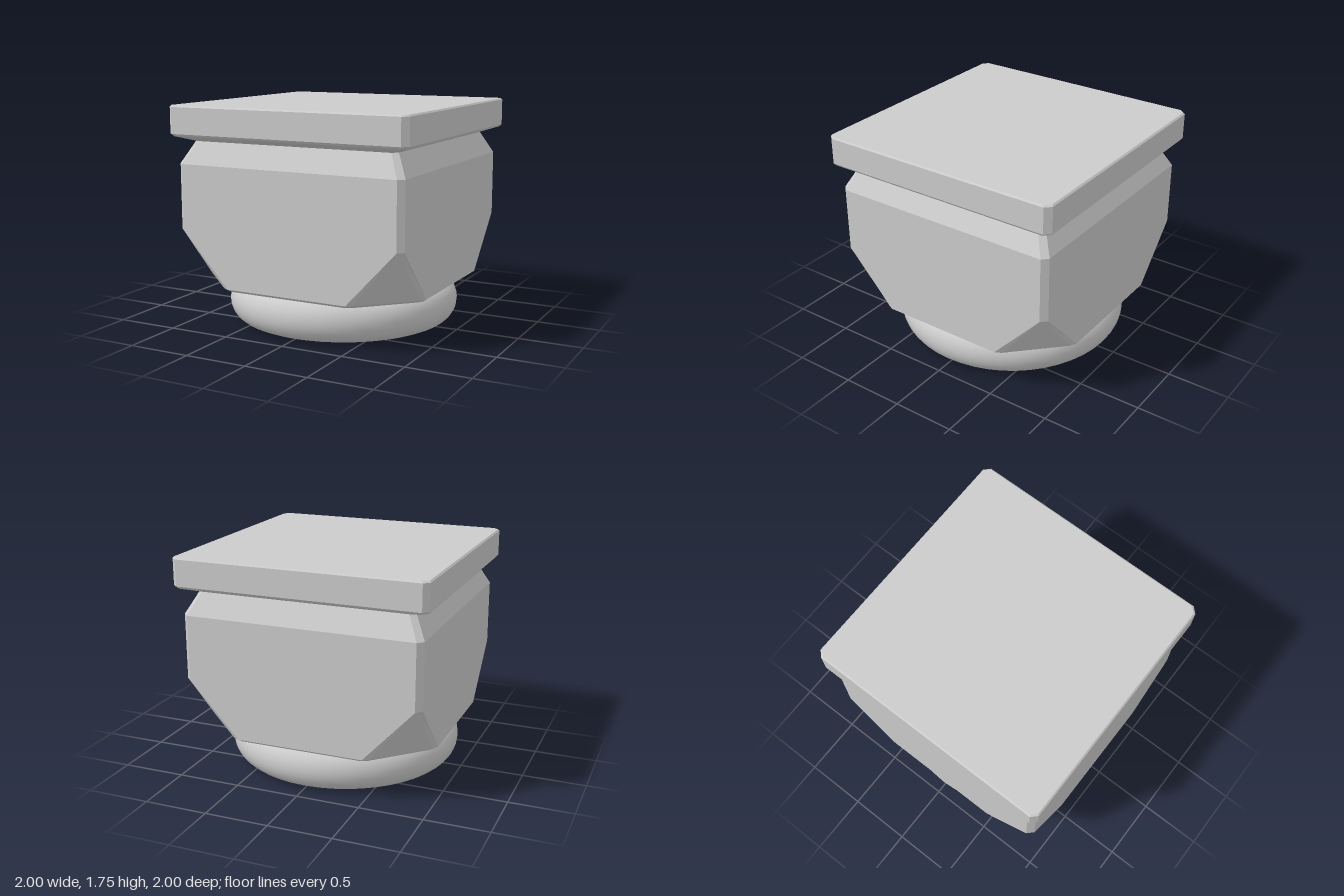
import * as THREE from 'three';

const material = new THREE.MeshStandardMaterial({ color: 0xcccccc });

// Square ring with cut corners: half-width w, cut c, softened edge point (p, q) in from the sides
function ring([y, w, c, p = c / 2, q = c / 2]) {
  const corner = [[w, w - c], [w - p, w - q], [w - q, w - p], [w - c, w]];
  const points = [];
  for (let k = 0; k < 4; k++) {
    for (const [x, z] of corner) {
      let a = x, b = z;
      for (let r = 0; r < k; r++) [a, b] = [-b, a];
      points.push(new THREE.Vector3(a, y, b));
    }
  }
  return points;
}

// Flat-faced solid through a stack of rings, closed at both ends
function loft(name, levels) {
  const rings = levels.map(ring);
  const positions = [];
  const tri = (a, b, c) => {
    if (new THREE.Triangle(a, b, c).getArea() < 1e-7) return;
    for (const v of [a, b, c]) positions.push(v.x, v.y, v.z);
  };
  const n = rings[0].length;
  const last = rings.length - 1;
  const bottom = new THREE.Vector3(0, levels[0][0], 0);
  const top = new THREE.Vector3(0, levels[last][0], 0);
  for (let i = 0; i < n; i++) {
    const j = (i + 1) % n;
    for (let k = 0; k < last; k++) {
      const lo = rings[k], hi = rings[k + 1];
      tri(lo[i], hi[i], hi[j]);
      tri(lo[i], hi[j], lo[j]);
    }
    tri(bottom, rings[0][i], rings[0][j]);
    tri(top, rings[last][j], rings[last][i]);
  }
  const geometry = new THREE.BufferGeometry();
  geometry.setAttribute('position', new THREE.Float32BufferAttribute(positions, 3));
  geometry.computeVertexNormals();
  const mesh = new THREE.Mesh(geometry, material);
  mesh.name = name;
  return mesh;
}

export function createModel() {
  const group = new THREE.Group();
  group.name = 'squareCappedBlock';

  // Round cushion foot with a rolled rim
  const profile = [[0, 0], [0.68, 0], [0.75, 0.004]];
  for (let i = 0; i <= 10; i++) {
    const t = -Math.PI / 2 + 0.3 + (i / 10) * (Math.PI - 0.6);
    profile.push([0.75 + 0.18 * Math.pow(Math.cos(t), 0.8), 0.17 + 0.17 * Math.sin(t)]);
  }
  profile.push([0.75, 0.336], [0.68, 0.34], [0, 0.34]);
  const foot = new THREE.Mesh(
    new THREE.LatheGeometry(profile.map(([r, y]) => new THREE.Vector2(r, y)), 48), material);
  foot.name = 'roundFoot';
  group.add(foot);

  // Body: cut lower corners narrowing to thin edge bevels, sloped shoulders
  group.add(loft('body', [
    [0.338, 0.92, 0.43, 0.025, 0.385],
    [0.36, 0.95, 0.445, 0.025, 0.395],
    [0.79, 0.95, 0.045],
    [1.305, 0.95, 0.045],
    [1.49, 0.852, 0.04],
  ]));

  // Square cap with an undercut lower edge
  group.add(loft('cap', [
    [1.475, 0.85, 0.04],
    [1.52, 0.985, 0.045],
    [1.538, 1, 0.045],
    [1.743, 1, 0.045],
    [1.755, 0.988, 0.04],
  ]));

  return group;
}
